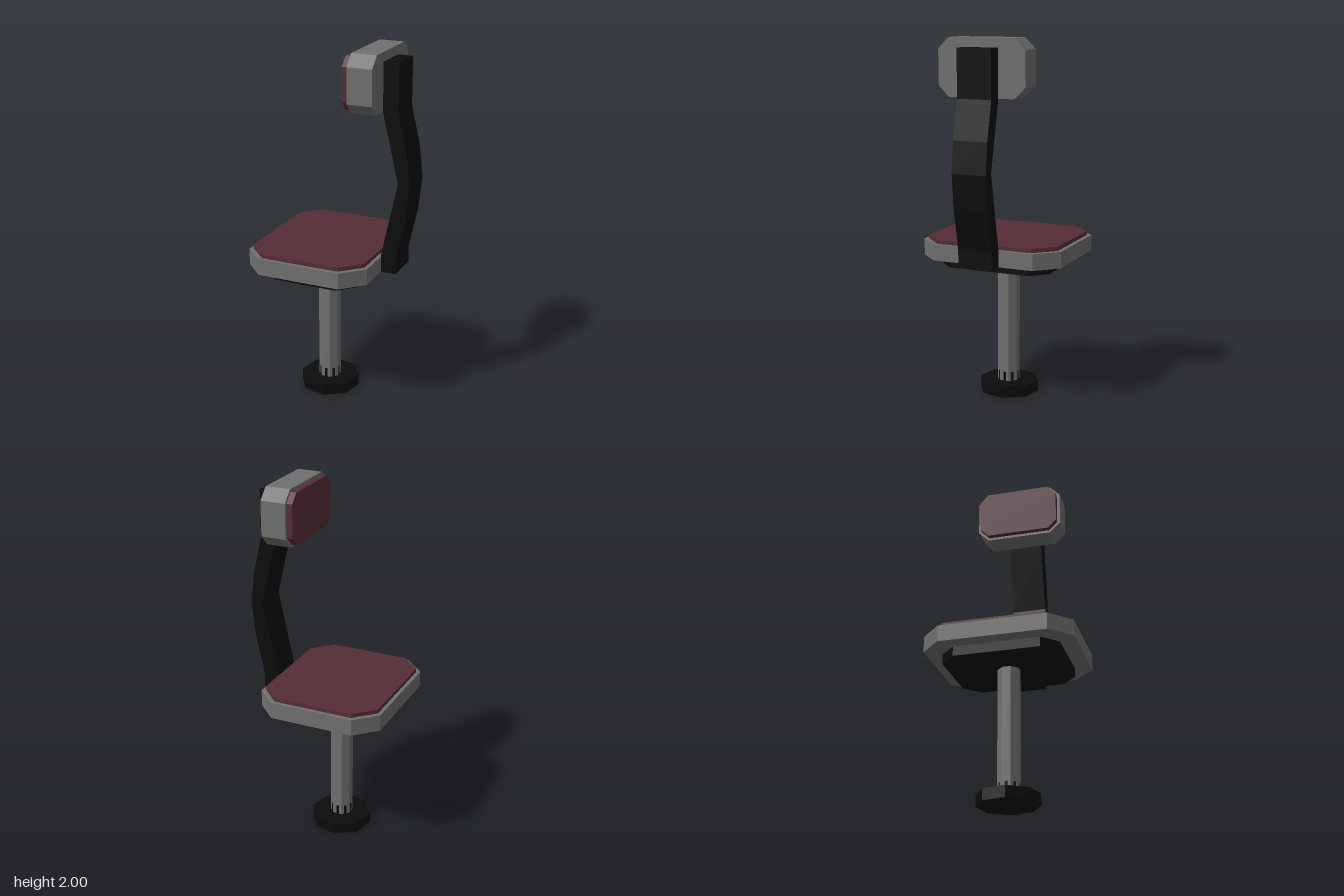
import * as THREE from 'three';

export function createModel() {
  const model = new THREE.Group();
  model.name = 'chair';
  const material = (name, color) => {
    const m = new THREE.MeshStandardMaterial({ color });
    m.name = name;
    return m;
  };
  const grey = material('grey shell', 0x707070);
  const burgundy = material('burgundy upholstery', 0x552d37);
  const black = material('black frame', 0x0c0c0c);

  const add = (name, geometry, mat) => {
    const mesh = new THREE.Mesh(geometry, mat);
    mesh.name = name;
    model.add(mesh);
    return mesh;
  };
  const extrude = (points, depth) => new THREE.ExtrudeGeometry(
    new THREE.Shape(points.map(([x, y]) => new THREE.Vector2(x, y))),
    { depth, bevelEnabled: false });

  // Rectangle with cut corners, counter-clockwise
  const cutRect = (x0, x1, y0, y1, cx, cy = cx) => [
    [x0 + cx, y0], [x1 - cx, y0], [x1, y0 + cy], [x1, y1 - cy],
    [x1 - cx, y1], [x0 + cx, y1], [x0, y1 - cy], [x0, y0 + cy]];

  // Horizontal slab: outline in x and z, thickness from y0 to y1
  const slab = (name, outline, y0, y1, mat) =>
    add(name, extrude(outline, y1 - y0).rotateX(-Math.PI / 2).translate(0, y0, 0), mat);

  // Upright slab facing -x: outline in z and y, thickness from x0 to x1
  const upright = (name, outline, x0, x1, mat) =>
    add(name, extrude(outline, x1 - x0).rotateY(Math.PI / 2).translate(x0, 0, 0), mat);

  // Eight-sided column, flats towards the axes
  const octagon = (name, radius, y0, y1, turn, mat) =>
    add(name, new THREE.CylinderGeometry(radius, radius, y1 - y0, 8).toNonIndexed()
      .rotateY(turn).translate(-0.079, (y0 + y1) / 2, -0.003), mat);
  const flat = Math.PI / 8;

  // Pedestal
  octagon('foot', 0.168, 0, 0.062, 0.17, black).position.z = -0.004;
  octagon('collar', 0.0605, 0.06, 0.115, 0, black);
  octagon('post', 0.062, 0.06, 0.76, flat, grey);
  for (const part of model.children) part.geometry.computeVertexNormals();

  // Seat
  slab('seatMount', cutRect(-0.343, 0.185, -0.318, 0.32, 0.085), 0.747, 0.8, black);
  slab('seatShell', cutRect(-0.427, 0.271, -0.405, 0.408, 0.115), 0.8, 0.89, grey);
  slab('seatCushion', cutRect(-0.407, 0.251, -0.382, 0.385, 0.107), 0.89, 0.912, burgundy);

  // Bent back support
  const spine = [
    [0.271, 0.8], [0.356, 0.8], [0.356, 0.9], [0.405, 1.12], [0.425, 1.31],
    [0.405, 1.48], [0.356, 1.69], [0.356, 1.95], [0.271, 1.95], [0.271, 1.69],
    [0.36, 1.31], [0.271, 0.9]];
  add('backSupport', extrude(spine, 0.194).translate(0, 0, -0.098), black);

  // Backrest
  upright('backrestShell', cutRect(-0.246, 0.249, 1.69, 2, 0.06), 0.132, 0.271, grey);
  upright('backrestCushion', cutRect(-0.229, 0.232, 1.705, 1.985, 0.049), 0.1, 0.132, burgundy);

  return model;
}
